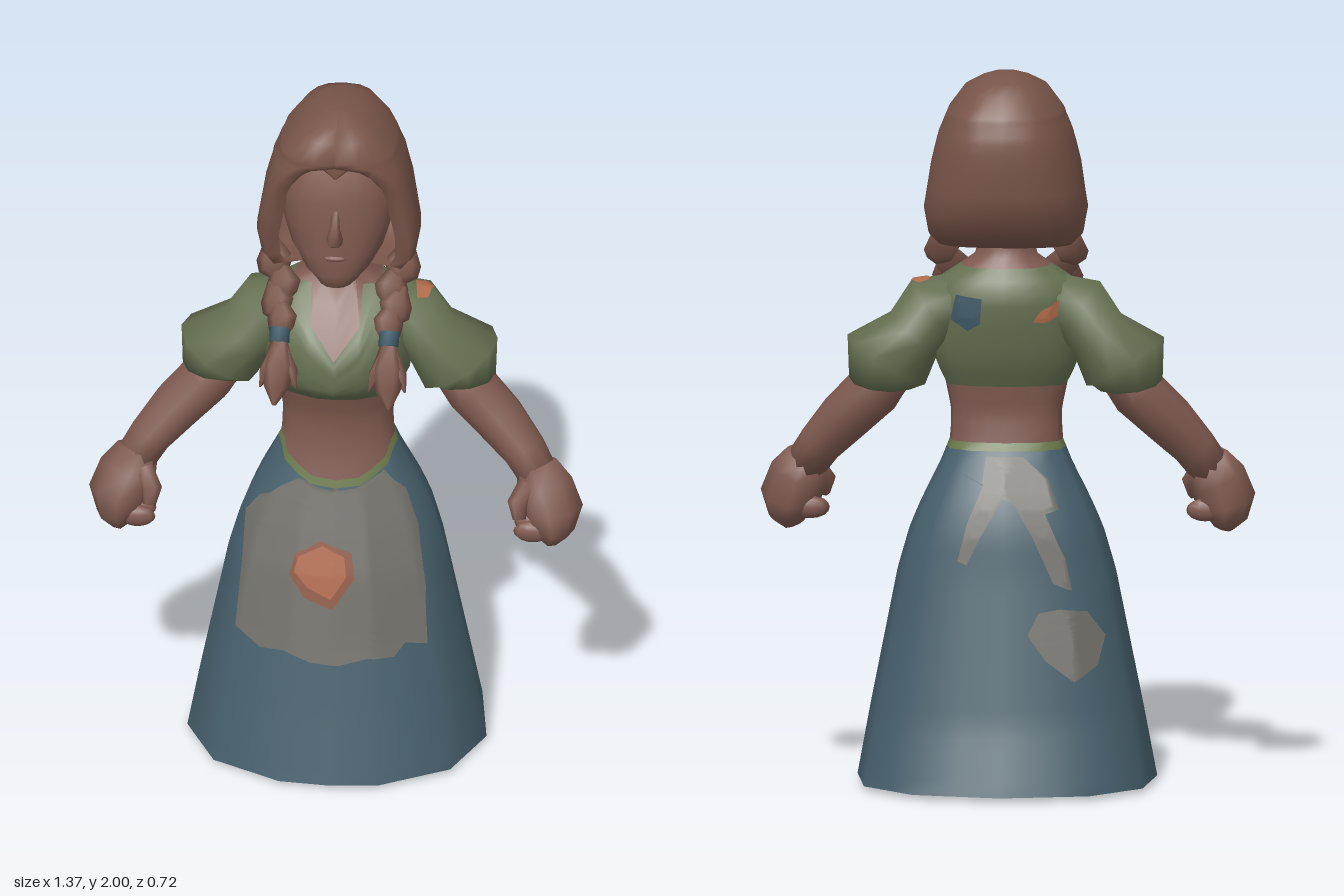
import * as THREE from 'three';

const mat = (name, color) => new THREE.MeshStandardMaterial({ name, color, side: THREE.DoubleSide });

// Indexed surface from rows of points; closed joins the last column to the first.
function surface(rows, closed = true) {
  const n = rows[0].length, index = [];
  for (let r = 0; r < rows.length - 1; r++) {
    for (let c = 0; c < (closed ? n : n - 1); c++) {
      const a = r * n + c, b = r * n + (c + 1) % n;
      index.push(a, b, b + n, a, b + n, a + n);
    }
  }
  const g = new THREE.BufferGeometry();
  g.setAttribute('position', new THREE.Float32BufferAttribute(rows.flat(2), 3));
  g.setIndex(index);
  g.computeVertexNormals();
  return g;
}

// Profile rows are [y, half width, front depth, back depth].
function profileAt(table, y) {
  let i = 0;
  while (i < table.length - 2 && y > table[i + 1][0]) i++;
  const a = table[i], b = table[i + 1];
  const t = THREE.MathUtils.clamp((y - a[0]) / (b[0] - a[0]), 0, 1);
  return a.map((v, k) => v + (b[k] - v) * t);
}
const power = (v, p) => Math.sign(v) * Math.abs(v) ** p;
function section(table, angle, y, k = 1, p = 0.87) {
  const [, rx, zf, zb] = profileAt(table, y);
  const s = Math.sin(angle), c = Math.cos(angle);
  return [k * rx * power(s, p), y, k * (c > 0 ? zf : zb) * power(c, p)];
}

const BODY = [
  [0.012, 0.42, 0.36, 0.36], [0.2, 0.385, 0.31, 0.3], [0.4, 0.345, 0.26, 0.26], [0.6, 0.305, 0.215, 0.22],
  [0.72, 0.27, 0.178, 0.2], [0.8, 0.235, 0.152, 0.175], [0.9, 0.185, 0.12, 0.125], [0.97, 0.157, 0.105, 0.09],
  [1.05, 0.155, 0.1, 0.08], [1.13, 0.172, 0.125, 0.09], [1.18, 0.2, 0.19, 0.12], [1.25, 0.212, 0.2, 0.14],
  [1.33, 0.21, 0.185, 0.155], [1.4, 0.205, 0.12, 0.155], [1.44, 0.165, 0.065, 0.13], [1.48, 0.09, 0.045, 0.1],
  [1.52, 0.078, 0.04, 0.09], [1.6, 0.07, 0.04, 0.09]];
const HEAD = [
  [1.485, 0.03, 0.11, 0], [1.5, 0.065, 0.138, 0.03], [1.54, 0.1, 0.148, 0.07], [1.6, 0.132, 0.148, 0.1],
  [1.68, 0.155, 0.143, 0.15], [1.77, 0.165, 0.138, 0.15], [1.86, 0.155, 0.118, 0.14], [1.92, 0.1, 0.08, 0.1]];
const HAIR = [
  [1.52, 0.19, 0.11, 0.12], [1.55, 0.215, 0.11, 0.19], [1.62, 0.228, 0.13, 0.245], [1.75, 0.208, 0.14, 0.262],
  [1.83, 0.188, 0.14, 0.26], [1.9, 0.16, 0.135, 0.24], [1.96, 0.115, 0.125, 0.205], [1.985, 0.07, 0.08, 0.15],
  [2, 0.03, 0.02, 0.07]];
// Half angle of the face opening in degrees at each height.
const OPENING = [[1.52, 66], [1.6, 60], [1.73, 54], [1.8, 45], [1.85, 30], [1.875, 18], [1.888, 0], [2, 0]];

// Eleven flat sides, each split at its middle; the front one comes to a soft corner.
const COLUMNS = 22;
function bodyPoint(col, y) {
  const angle = (c) => Math.PI + (c * Math.PI * 2) / COLUMNS;
  if (col % 2 === 0 || col === COLUMNS / 2) return section(BODY, angle(col), y);
  const a = section(BODY, angle(col - 1), y), b = section(BODY, angle(col + 1), y);
  return a.map((v, k) => (v + b[k]) / 2);
}
const frontness = (col) => Math.max(0, -Math.cos((col * Math.PI * 2) / COLUMNS));
const waistline = (col) => 0.945 - 0.1 * frontness(col) ** 2;
const neckline = (col) => 1.46 - Math.max(0, 0.17 - 0.085 * Math.abs(col - COLUMNS / 2));

function bodyPiece(from, to, count) {
  const rows = [];
  for (let r = 0; r <= count; r++) {
    rows.push(Array.from({ length: COLUMNS }, (_, c) => bodyPoint(c, from(c) + ((to(c) - from(c)) * r) / count)));
  }
  return surface(rows);
}

// Tube through rings [x, y, z, width radius, depth radius].
function loft(rings, sides = 10) {
  const at = (i) => new THREE.Vector3(...rings[i].slice(0, 3));
  const last = rings.length - 1;
  const rows = rings.map((ring, i) => {
    const t = at(Math.min(i + 1, last)).sub(at(Math.max(i - 1, 0))).normalize();
    const w = new THREE.Vector3(0, 0, 1).addScaledVector(t, -t.z).normalize();
    const u = w.clone().cross(t);
    return Array.from({ length: sides }, (_, k) => {
      const a = (k * Math.PI * 2) / sides;
      return at(i).addScaledVector(u, Math.cos(a) * ring[3]).addScaledVector(w, Math.sin(a) * ring[4]).toArray();
    });
  });
  const cap = (i) => Array.from({ length: sides }, () => at(i).toArray());
  return surface([cap(0), ...rows, cap(last)]);
}

// Thin patch: a star-shaped outline projected on a mesh from 'front', 'back' or 'top'.
function decal(outline, target, from, lift = 0.005) {
  const dir = { front: [0, 0, -1], back: [0, 0, 1], top: [0, -1, 0] }[from];
  const d = new THREE.Vector3(...dir), ray = new THREE.Raycaster(), rings = 24;
  const mid = [0, 1].map((k) => outline.reduce((s, p) => s + p[k], 0) / outline.length);
  const edge = outline.flatMap((p, i) => {
    const q = outline[(i + 1) % outline.length];
    return [0, 0.25, 0.5, 0.75].map((t) => [p[0] + (q[0] - p[0]) * t, p[1] + (q[1] - p[1]) * t]);
  });
  const project = (a, b) => {
    const o = from === 'top' ? new THREE.Vector3(a, 5, b) : new THREE.Vector3(a, b, -5 * d.z);
    ray.set(o, d);
    const hit = ray.intersectObject(target)[0];
    return hit ? hit.point.addScaledVector(hit.face.normal, lift).toArray() : null;
  };
  const centre = project(...mid);
  let previous = edge.map(() => centre);
  const rows = [previous];
  for (let r = 1; r <= rings; r++) {
    previous = edge.map((p, i) =>
      project(mid[0] + ((p[0] - mid[0]) * r) / rings, mid[1] + ((p[1] - mid[1]) * r) / rings) || previous[i]);
    rows.push(previous);
  }
  return surface(rows);
}

export function createModel() {
  const root = new THREE.Group();
  const skin = mat('skin', 0x7f5a50), hair = mat('hair', 0x795549), green = mat('blouse green', 0x667152);
  const trimGreen = mat('trim green', 0x68774a), blue = mat('skirt blue', 0x47606c), linen = mat('apron linen', 0x72706a);
  const orange = mat('patch orange', 0xb06a4c), rust = mat('patch edge', 0x8f5a47), ribbon = mat('ribbon blue', 0x3f5a68);
  const add = (name, geometry, material) => {
    const m = new THREE.Mesh(geometry, material);
    m.name = name;
    root.add(m);
    return m;
  };
  const ball = (name, material, pos, size) => {
    const m = add(name, new THREE.SphereGeometry(1, 10, 8), material);
    m.position.set(...pos);
    m.scale.set(...size);
  };

  // Skirt, waist trim, torso, blouse and neck share one profile
  const skirt = add('skirt', bodyPiece(() => 0.012, waistline, 24), blue);
  const rim = Array.from({ length: COLUMNS }, (_, c) => bodyPoint(c, 0.012));
  add('skirtUnderside', surface([rim.map(() => [0, 0.012, 0]), rim]), blue);
  add('waistTrim', bodyPiece(waistline, (c) => waistline(c) + 0.022, 1), trimGreen);
  add('midriff', bodyPiece((c) => waistline(c) + 0.022, () => 1.125, 6), skin);
  const blouse = add('blouse', bodyPiece(() => 1.125, neckline, 10), green);
  add('neck', bodyPiece(neckline, () => 1.6, 5), skin);

  // Apron, its mended patch, and the bow and stain behind
  add('apron', decal([[-0.09, 0.868], [-0.15, 0.83], [-0.21, 0.78], [-0.25, 0.72], [-0.255, 0.6], [-0.27, 0.41],
    [-0.2, 0.37], [-0.13, 0.38], [-0.06, 0.355], [0.02, 0.35], [0.1, 0.37], [0.17, 0.365], [0.2, 0.4], [0.26, 0.385],
    [0.25, 0.55], [0.225, 0.72], [0.19, 0.82], [0.13, 0.89], [0.06, 0.855], [0, 0.844], [-0.05, 0.853]],
  skirt, 'front'), linen);
  add('apronPatchEdge', decal([[-0.118, 0.6], [-0.105, 0.66], [-0.035, 0.7], [0.05, 0.67], [0.06, 0.6], [0, 0.51],
    [-0.08, 0.54]], skirt, 'front', 0.007), rust);
  add('apronPatch', decal([[-0.105, 0.61], [-0.095, 0.655], [-0.03, 0.688], [0.03, 0.66], [0.037, 0.605], [-0.005, 0.54],
    [-0.07, 0.57]], skirt, 'front', 0.0095), orange);
  [['apronBow', [[0.05, 0.93], [0.06, 0.86], [0, 0.82], [-0.09, 0.77], [-0.15, 0.79], [-0.12, 0.87], [-0.05, 0.93]]],
    ['apronTailLeft', [[0.05, 0.87], [0.1, 0.75], [0.125, 0.65], [0.1, 0.64], [0.06, 0.72], [-0.01, 0.84]]],
    ['apronTailRight', [[0, 0.85], [-0.08, 0.72], [-0.14, 0.59], [-0.19, 0.57], [-0.17, 0.66], [-0.11, 0.79], [-0.06, 0.86]]],
    ['skirtPatch', [[-0.07, 0.45], [-0.1, 0.51], [-0.16, 0.52], [-0.23, 0.51], [-0.28, 0.44], [-0.26, 0.36], [-0.2, 0.32],
      [-0.12, 0.38]]],
  ].forEach(([name, outline]) => add(name, decal(outline, skirt, 'back'), linen));
  add('backPatchBlue', decal([[0.06, 1.38], [0.13, 1.39], [0.145, 1.32], [0.1, 1.29], [0.065, 1.31]], blouse, 'back'), ribbon);
  add('backPatchOrange', decal([[-0.08, 1.315], [-0.1, 1.345], [-0.15, 1.375], [-0.18, 1.375], [-0.17, 1.345],
    [-0.12, 1.315]], blouse, 'back'), orange);

  // Head, nose and mouth
  const turn = (c, n) => (c * Math.PI * 2) / n;
  add('head', surface(HEAD.map(([y]) => Array.from({ length: 20 }, (_, c) => section(HEAD, turn(c, 20), y)))), skin);
  add('nose', loft([[0, 1.645, 0.14, 0.02, 0.014], [0, 1.668, 0.152, 0.024, 0.04], [0, 1.695, 0.145, 0.015, 0.026],
    [0, 1.75, 0.135, 0.01, 0.006]], 6), skin);
  ball('mouth', skin, [0, 1.6, 0.143], [0.032, 0.009, 0.01]);

  // Hair shell, open over the face, with an inward-turned rim
  const hairRow = (y, k) => {
    const open = THREE.MathUtils.degToRad(profileAt(OPENING, y)[1]), p = 0.78;
    const row = [section(HAIR, open, y, k * 0.8, p)];
    for (let c = 0; c <= 22; c++) row.push(section(HAIR, open + ((Math.PI * 2 - open * 2) * c) / 22, y, k, p));
    row.push(section(HAIR, -open, y, k * 0.8, p));
    return row;
  };
  const levels = [1.52, 1.55, 1.62, 1.68, 1.75, 1.8, 1.83, 1.85, 1.875, 1.888, 1.9, 1.96, 1.985, 2];
  add('hair', surface([hairRow(1.52, 0.45), ...levels.map((y) => hairRow(y, 1)), hairRow(2, 0.01)], false), hair);
  add('hairParting', loft([[0, 1.85, 0.127, 0.004, 0.006], [0, 1.892, 0.127, 0.05, 0.008]], 8), hair);

  for (const s of [1, -1]) {
    const side = s > 0 ? 'left' : 'right';
    const limb = (name, rings, material, sides) =>
      add(side + name, loft(rings.map(([x, ...rest]) => [x * s, ...rest]), sides), material);

    // Flared sleeve and arm
    const sleeve = limb('Sleeve', [[0.12, 1.37, -0.02, 0.07, 0.09], [0.2, 1.335, -0.02, 0.1, 0.112],
      [0.255, 1.265, -0.02, 0.088, 0.112], [0.332, 1.19, -0.025, 0.128, 0.135], [0.342, 1.13, -0.02, 0.094, 0.1],
      [0.335, 1.16, -0.02, 0.06, 0.06]], green, 10);
    if (s > 0) {
      add('shoulderPatch', decal([[0.21, -0.05], [0.24, -0.06], [0.26, -0.03], [0.25, 0.02], [0.22, 0.03]], sleeve, 'top'), orange);
    }
    limb('Arm', [[0.3, 1.2, -0.02, 0.07, 0.07], [0.37, 1.1, -0.01, 0.078, 0.078], [0.45, 1.02, 0.015, 0.073, 0.075],
      [0.52, 0.94, 0.045, 0.062, 0.066], [0.56, 0.88, 0.07, 0.058, 0.058]], skin, 10);

    // Fist with thumb and curled fingers
    limb('Hand', [[0.555, 0.9, 0.065, 0.062, 0.058], [0.58, 0.85, 0.085, 0.082, 0.075], [0.605, 0.785, 0.1, 0.084, 0.098],
      [0.605, 0.735, 0.11, 0.06, 0.088], [0.595, 0.705, 0.11, 0.03, 0.06]], skin, 8);
    limb('Thumb', [[0.535, 0.87, 0.11, 0.028, 0.028], [0.51, 0.825, 0.145, 0.03, 0.03], [0.515, 0.785, 0.165, 0.018, 0.018]], skin, 6);
    for (let f = 0; f < 4; f++) {
      ball(side + 'Finger' + (f + 1), skin, [s * 0.55, 0.762 - 0.006 * f, 0.045 + f * 0.038], [0.052, 0.032, 0.021]);
    }

    // Braid, ribbon and loose end
    [[0.178, 1.5, 0.0, 0.052], [0.15, 1.45, 0.045, 0.048], [0.165, 1.415, 0.085, 0.046], [0.148, 1.385, 0.125, 0.042]]
      .forEach(([x, y, z, r], i) => limb('BraidLock' + (i + 1), [[x + 0.012, y + 0.045, z - 0.035, r * 0.4, r * 0.4],
        [x, y + 0.005, z, r, r * 0.85], [x, y - 0.02, z + 0.02, r * 0.85, r * 0.7],
        [x - 0.01, y - 0.035, z + 0.035, r * 0.3, r * 0.3]], hair, 6));
    limb('BraidRibbon', [[0.152, 1.372, 0.15, 0.028, 0.028], [0.152, 1.34, 0.176, 0.028, 0.028]], ribbon, 8);
    limb('BraidEnd', [[0.152, 1.345, 0.17, 0.022, 0.022], [0.152, 1.285, 0.21, 0.044, 0.036],
      [0.155, 1.235, 0.24, 0.036, 0.028], [0.16, 1.19, 0.268, 0.005, 0.005]], hair, 6);
    for (const k of [-1, 1]) {
      limb('BraidTuft', [[0.152 + k * 0.012, 1.325, 0.185, 0.015, 0.015], [0.152 + k * 0.035, 1.27, 0.215, 0.02, 0.02],
        [0.152 + k * 0.05, 1.225, 0.23, 0.003, 0.003]], hair, 5);
    }

    // Shoe soles under the hem
    ball(side + 'Shoe', blue, [s * 0.12, 0.04, 0.04], [0.085, 0.04, 0.16]);
    ball(side + 'Heel', blue, [s * 0.12, 0.04, -0.13], [0.055, 0.04, 0.06]);
  }
  return root;
}
